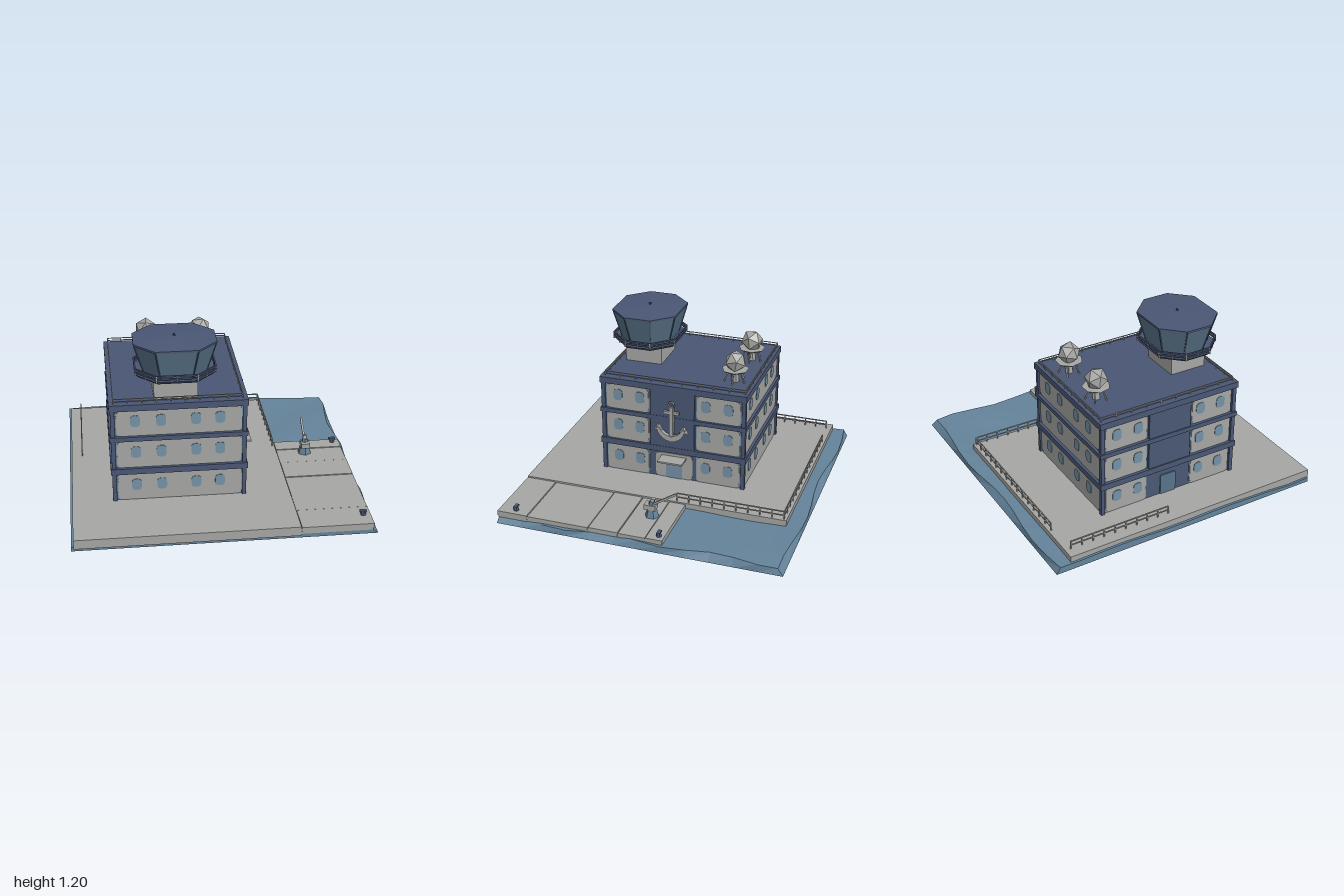
import * as THREE from 'three';

const mat = (name, color, side = THREE.FrontSide) => {
  const m = new THREE.MeshStandardMaterial({ color, side, flatShading: true });
  m.name = name;
  return m;
};

export function createModel() {
  const root = new THREE.Group();
  root.name = 'harbourControlBuilding';
  const concrete = mat('concrete grey', 0xa6a6a4);
  const navy = mat('navy blue', 0x4a5774);
  const water = mat('water blue', 0x64839a);
  const glass = mat('window blue', 0x7592a6);
  const cabinGlass = mat('cabin blue', 0x587388, THREE.DoubleSide);

  const add = (name, geo, m, x = 0, y = 0, z = 0, parent = root) => {
    const mesh = new THREE.Mesh(geo, m);
    mesh.name = name;
    mesh.position.set(x, y, z);
    parent.add(mesh);
    return mesh;
  };
  // Box given by its minimum and maximum corners
  const block = (name, m, x0, x1, y0, y1, z0, z1, parent = root) =>
    add(name, new THREE.BoxGeometry(x1 - x0, y1 - y0, z1 - z0), m,
      (x0 + x1) / 2, (y0 + y1) / 2, (z0 + z1) / 2, parent);
  // Thin square bar between two points
  const bar = (name, a, b, t, m, parent = root) => {
    const p = new THREE.Vector3(...a), q = new THREE.Vector3(...b);
    const mesh = add(name, new THREE.BoxGeometry(t, t, p.distanceTo(q)), m, 0, 0, 0, parent);
    mesh.position.copy(p).add(q).multiplyScalar(0.5);
    mesh.lookAt(q);
  };
  // Fence with posts and two rails
  const railing = (name, [x0, z0], [x1, z1], y, h, n, t = 0.007) => {
    const g = new THREE.Group();
    g.name = name;
    root.add(g);
    for (const f of [0.5, 1]) bar('rail', [x0, y + h * f, z0], [x1, y + h * f, z1], t, concrete, g);
    for (let i = 0; i <= n; i++) {
      const x = x0 + (x1 - x0) * i / n, z = z0 + (z1 - z0) * i / n;
      bar('post', [x, y, z], [x, y + h, z], t, concrete, g);
    }
  };

  // Water slab with a gently wavy top and uneven edges
  const sea = new THREE.BoxGeometry(2, 0.05, 1.98, 12, 1, 12);
  const sp = sea.attributes.position;
  for (let i = 0; i < sp.count; i++) {
    let x = sp.getX(i), z = sp.getZ(i) - 0.01;
    const top = sp.getY(i) > 0;
    const y = top ? 0.045 + 0.01 * Math.sin(x * 7 + z * 3) * Math.cos(z * 5) - (z > 0.8 ? 0.015 : 0) : 0;
    if (x > 0.99 && top) x -= 0.025 + 0.02 * Math.sin(z * 9);
    if (z < -0.99 && top) z += 0.02 + 0.02 * Math.sin(x * 6 + 2.5);
    sp.setXYZ(i, x, y, z);
  }
  sea.computeVertexNormals();
  add('water', sea, water);

  // Quay deck and the lower dock of separate slabs
  block('quayDeck', concrete, -0.985, 0.487, 0.02, 0.085, -0.89, 0.99);
  const seams = [-0.19, -0.07, 0.12, 0.33, 0.77, 0.99];
  block('dockBed', concrete, 0.487, 0.965, 0.03, 0.068, -0.185, 0.985);
  for (let i = 0; i < 5; i++)
    block('dockSlab', concrete, 0.492, 0.97, 0.045, 0.078 - 0.003 * (i % 2), seams[i] + 0.003, seams[i + 1] - 0.003);
  for (const z of [-0.15, 0.87]) {
    add('bollard', new THREE.CylinderGeometry(0.014, 0.02, 0.03, 6), navy, 0.92, 0.09, z);
    block('bollardTop', navy, 0.895, 0.94, 0.1, 0.112, z - 0.012, z + 0.012);
  }

  // Deck railings
  railing('backRailing', [-0.68, -0.87], [0.47, -0.87], 0.085, 0.058, 14);
  railing('leftRailing', [0.47, -0.87], [0.47, -0.12], 0.085, 0.058, 9);
  railing('rightRailing', [-0.91, -0.85], [-0.91, -0.12], 0.085, 0.058, 9);

  // Dock crane
  add('craneBase', new THREE.CylinderGeometry(0.018, 0.05, 0.11, 6), water, 0.69, 0.13, -0.02);
  bar('cranePost', [0.69, 0.17, -0.02], [0.69, 0.21, -0.03], 0.025, concrete);
  bar('craneBoom', [0.69, 0.14, 0.01], [0.69, 0.27, -0.19], 0.014, concrete);
  block('craneCabin', concrete, 0.66, 0.72, 0.13, 0.165, -0.05, 0.03);

  // Building core, floor bands and corner posts
  const cx = -0.26, cz = 0.01;
  block('buildingCore', navy, -0.695, 0.175, 0.08, 0.79, -0.495, 0.515);
  for (const [y0, y1] of [[0.287, 0.33], [0.533, 0.565], [0.755, 0.8]])
    block('floorBand', navy, -0.72, 0.195, y0, y1, -0.52, 0.54);
  for (const x of [-0.698, 0.173]) for (const z of [-0.498, 0.518])
    block('cornerPost', navy, x - 0.014, x + 0.014, 0.08, 0.79, z - 0.014, z + 0.014);

  // Rounded wall panel and octagonal window plates
  const plate = (w, h, r, depth) => {
    const s = new THREE.Shape(), a = w / 2, b = h / 2;
    s.moveTo(-a + r, -b);
    s.lineTo(a - r, -b); s.quadraticCurveTo(a, -b, a, -b + r);
    s.lineTo(a, b - r); s.quadraticCurveTo(a, b, a - r, b);
    s.lineTo(-a + r, b); s.quadraticCurveTo(-a, b, -a, b - r);
    s.lineTo(-a, -b + r); s.quadraticCurveTo(-a, -b, -a + r, -b);
    return new THREE.ExtrudeGeometry(s, { depth, bevelEnabled: false, curveSegments: 3 });
  };
  const floors = [[0.085, 0.287], [0.33, 0.533], [0.565, 0.755]];
  const facade = (name, angle, dist, panels, windows) => {
    const g = new THREE.Group();
    g.name = name;
    g.position.set(cx, 0, cz);
    g.rotation.y = angle;
    root.add(g);
    for (const [y0, y1] of floors) {
      const yc = (y0 + y1) / 2;
      for (const [a, b] of panels) {
        add('panelEdge', plate(b - a, y1 - y0, 0.025, 0.004), glass, (a + b) / 2, yc, dist, g);
        add('wallPanel', plate(b - a - 0.012, y1 - y0 - 0.01, 0.035, 0.008), concrete, (a + b) / 2, yc, dist, g);
      }
      for (const x of windows)
        add('window', plate(0.066, 0.084, 0.028, 0.006), glass, x, yc + 0.015, dist + 0.006, g);
    }
    return g;
  };
  const longWin = [-0.29, -0.12, 0.11, 0.27];
  const sidePanels = [[-0.49, -0.17], [0.17, 0.49]], sideWin = [-0.4, -0.24, 0.24, 0.4];
  facade('frontWall', 0, 0.505, [[-0.42, 0.42]], longWin);
  facade('backWall', Math.PI, 0.505, [[-0.42, 0.42]], longWin);
  const left = facade('leftWall', Math.PI / 2, 0.435, sidePanels, sideWin);
  const right = facade('rightWall', -Math.PI / 2, 0.435, sidePanels, sideWin);
  for (const g of [left, right]) block('centrePanel', navy, -0.16, 0.16, 0.287, 0.795, 0.43, 0.452, g);

  // Entrance with canopy, and the plain rear door
  add('entranceWall', plate(0.27, 0.19, 0.035, 0.008), concrete, 0.01, 0.182, 0.435, left);
  add('entranceDoor', plate(0.12, 0.15, 0.02, 0.006), glass, 0.01, 0.162, 0.441, left);
  block('canopy', concrete, -0.08, 0.1, 0.245, 0.257, 0.435, 0.545, left);
  add('rearDoor', plate(0.12, 0.15, 0.01, 0.008), cabinGlass, 0, 0.16, 0.435, right);

  // Anchor ornament
  const anchor = new THREE.Group();
  anchor.name = 'anchor';
  anchor.position.set(0.222, 0, 0.005);
  anchor.rotation.y = Math.PI / 2;
  root.add(anchor);
  add('anchorRing', new THREE.TorusGeometry(0.02, 0.007, 5, 10), concrete, 0, 0.675, 0, anchor);
  block('shank', concrete, -0.014, 0.014, 0.42, 0.66, -0.012, 0.012, anchor);
  block('stock', concrete, -0.055, 0.055, 0.605, 0.625, -0.01, 0.01, anchor);
  const arms = new THREE.Shape();
  arms.moveTo(-0.105, 0.5);
  arms.quadraticCurveTo(-0.085, 0.41, 0, 0.4);
  arms.quadraticCurveTo(0.085, 0.41, 0.105, 0.5);
  arms.lineTo(0.082, 0.5);
  arms.quadraticCurveTo(0.06, 0.45, 0, 0.44);
  arms.quadraticCurveTo(-0.06, 0.45, -0.082, 0.5);
  add('arms', new THREE.ExtrudeGeometry(arms, { depth: 0.03, bevelEnabled: false, curveSegments: 5 }), concrete, 0, 0, -0.01, anchor);
  for (const s of [-1, 1])
    add('fluke', new THREE.ConeGeometry(0.034, 0.055, 4), concrete, s * 0.092, 0.505, 0.004, anchor).scale.z = 0.5;

  // Roof railings
  for (const [a, b] of [[[-0.69, -0.5], [0.16, -0.5]], [[-0.69, -0.5], [-0.69, 0.51]],
    [[-0.69, 0.51], [0.16, 0.51]], [[0.16, 0.51], [0.16, -0.5]]])
    railing('roofRailing', a, b, 0.8, 0.032, 9, 0.005);

  // Two radar domes on splayed legs
  for (const [x, z] of [[-0.42, -0.38], [-0.035, -0.37]]) {
    add('radarDome', new THREE.IcosahedronGeometry(0.078, 0), concrete, x, 0.946, z).rotation.set(0.3, x * 4, 0.2);
    add('domePlatform', new THREE.CylinderGeometry(0.095, 0.075, 0.014, 7), concrete, x, 0.885, z);
    add('domeColumn', new THREE.CylinderGeometry(0.02, 0.03, 0.09, 6), concrete, x, 0.84, z);
    for (let i = 0; i < 5; i++) {
      const c = Math.cos(i * 1.2566), s = Math.sin(i * 1.2566);
      bar('domeLeg', [x + c * 0.075, 0.8, z + s * 0.075], [x + c * 0.04, 0.885, z + s * 0.04], 0.008, concrete);
    }
  }

  // Control tower: eight-sided prisms that flare between two heights
  const tx = -0.272, tz = 0.33;
  const corners = [[0.14, 0.232], [-0.14, 0.232], [-0.272, 0.095], [-0.272, -0.095],
    [-0.14, -0.232], [0.14, -0.232], [0.272, -0.095], [0.272, 0.095]];
  const tier = (name, m, y0, y1, s0, s1) => {
    const shape = new THREE.Shape(corners.map(([x, z]) => new THREE.Vector2(x, z)));
    const geo = new THREE.ExtrudeGeometry(shape, { depth: y1 - y0, bevelEnabled: false });
    geo.rotateX(-Math.PI / 2);
    const p = geo.attributes.position;
    for (let i = 0; i < p.count; i++) {
      const k = p.getY(i) > (y1 - y0) / 2 ? s1 : s0;
      p.setXYZ(i, p.getX(i) * k, p.getY(i), p.getZ(i) * k);
    }
    geo.computeVertexNormals();
    return add(name, geo, m, tx, y0, tz);
  };
  block('towerStem', concrete, -0.42, -0.13, 0.79, 0.95, 0.2, 0.465);
  tier('walkwayFloor', navy, 0.94, 0.962, 0.9, 0.98);
  tier('controlCabin', cabinGlass, 0.962, 1.165, 0.76, 0.985);
  tier('roofEdge', navy, 1.162, 1.175, 1, 1);
  tier('roofCap', navy, 1.175, 1.188, 1, 0.03);
  add('roofMast', new THREE.CylinderGeometry(0.008, 0.01, 0.02, 6), navy, tx, 1.19, tz);
  corners.forEach(([x, z], i) => {
    const [u, v] = corners[(i + 1) % 8], at = (a, b, y) => [tx + a * 0.97, y, tz + b * 0.97];
    for (const y of [0.98, 1.0]) bar('walkwayRail', at(x, z, y), at(u, v, y), 0.01, navy);
    bar('walkwayPost', at(x, z, 0.955), at(x, z, 1.003), 0.01, concrete);
    bar('walkwayPost', at((x + u) / 2, (z + v) / 2, 0.955), at((x + u) / 2, (z + v) / 2, 1.003), 0.008, concrete);
    bar('cabinMullion', [tx + x * 0.76, 0.965, tz + z * 0.76], [tx + x * 0.985, 1.163, tz + z * 0.985], 0.008, navy);
  });
  return root;
}
